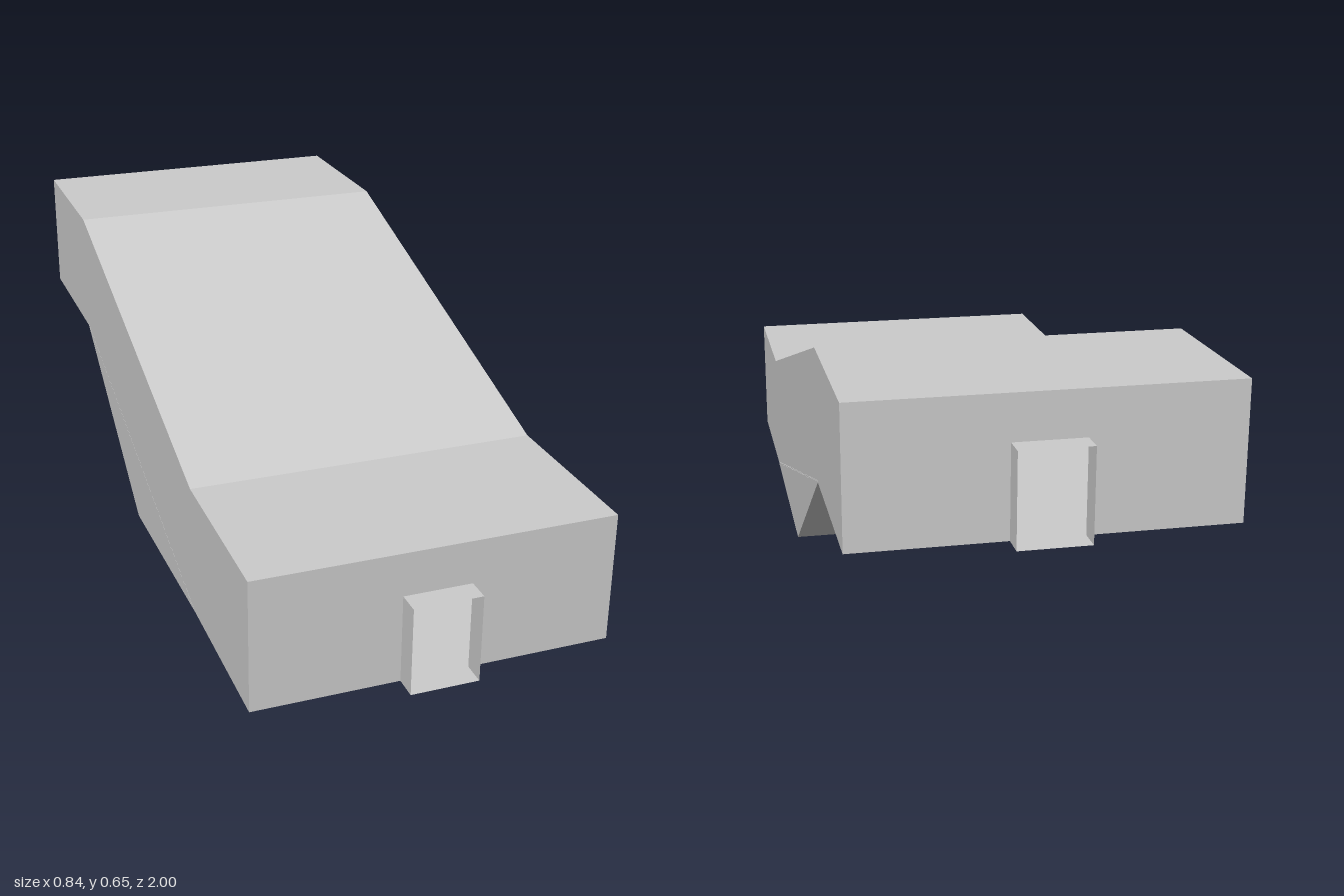
import * as THREE from 'three';

const HALF_W = 0.42;   // half width of the passage
const END = 0.945;     // end walls
const BEND = 0.525;    // where the level parts meet the slope
const LOW = 0.025, HIGH = 0.34, ROOM = 0.313;
const DOOR_HALF = 0.08, DOOR_H = 0.21;
const STEPS = 48;

export function createModel() {
  const model = new THREE.Group();
  const mat = new THREE.MeshStandardMaterial({
    color: 0xcccccc, side: THREE.DoubleSide, flatShading: true,
  });

  const add = (name, geometry, parent = model) => {
    const mesh = new THREE.Mesh(geometry, mat);
    mesh.name = name;
    parent.add(mesh);
    return mesh;
  };
  const shapeOf = (pts) => new THREE.Shape(pts.map(([a, b]) => new THREE.Vector2(a, b)));

  // Sheet spanning the given width along a [z, y] path, back to front
  const sheet = (width, path) => {
    const g = new THREE.PlaneGeometry(width, 1, 1, path.length - 1);
    const p = g.attributes.position;
    for (let i = 0; i < p.count; i++) {
      const [z, y] = path[Math.floor(i / 2)];
      p.setY(i, y);
      p.setZ(i, z);
    }
    const flat = g.toNonIndexed();
    flat.computeVertexNormals();
    return flat;
  };

  // Ceiling: level, sloping, level
  add('ceiling', sheet(HALF_W * 2, [
    [-END, HIGH + ROOM], [-BEND, HIGH + ROOM], [BEND, LOW + ROOM], [END, LOW + ROOM],
  ]));

  // Level floors at both ends
  add('lowerFloor', sheet(HALF_W * 2, [[BEND, LOW], [END, LOW]]));
  add('upperFloor', sheet(HALF_W * 2, [[-END, HIGH], [-BEND, HIGH]]));

  // Side walls, drawn with -z along the shape's x
  const wall = shapeOf([
    [-END, LOW], [-BEND, LOW], [BEND, HIGH], [END, HIGH],
    [END, HIGH + ROOM], [BEND, HIGH + ROOM], [-BEND, LOW + ROOM], [-END, LOW + ROOM],
  ]);
  for (const side of [1, -1]) {
    const g = new THREE.ShapeGeometry(wall).rotateY(Math.PI / 2);
    add(side > 0 ? 'leftWall' : 'rightWall', g).position.x = side * HALF_W;
  }

  // Staircase with a wedge-shaped underside
  const stair = [[0, 0], [-BEND, LOW]];
  const run = (2 * BEND) / STEPS, rise = (HIGH - LOW) / STEPS;
  for (let i = 0; i < STEPS; i++) {
    const y = LOW + (i + 1) * rise;
    stair.push([-BEND + i * run, y], [-BEND + (i + 1) * run, y]);
  }
  const stairWidth = HALF_W * 2 + 0.001;
  const stairGeo = new THREE.ExtrudeGeometry(shapeOf(stair.reverse()), {
    depth: stairWidth, bevelEnabled: false,
  });
  stairGeo.translate(0, 0, -stairWidth / 2).rotateY(Math.PI / 2);
  add('staircase', stairGeo);

  // End walls with a doorway, each with a short open door frame
  const endShape = shapeOf([
    [-HALF_W, 0], [-DOOR_HALF, 0], [-DOOR_HALF, DOOR_H], [DOOR_HALF, DOOR_H],
    [DOOR_HALF, 0], [HALF_W, 0], [HALF_W, ROOM], [-HALF_W, ROOM],
  ]);
  const depth = 1 - END;
  for (const [name, y, turn] of [['front', LOW, 0], ['back', HIGH, Math.PI]]) {
    const end = new THREE.Group();
    end.name = name + 'End';
    end.position.y = y;
    end.rotation.y = turn;
    model.add(end);
    add(name + 'Wall', new THREE.ShapeGeometry(endShape), end).position.z = END;
    add(name + 'DoorTop', sheet(DOOR_HALF * 2, [[END, DOOR_H], [1, DOOR_H]]), end);
    add(name + 'DoorSill', sheet(DOOR_HALF * 2, [[1, 0], [END, 0]]), end);
    for (const s of [1, -1]) {
      const jamb = new THREE.PlaneGeometry(depth, DOOR_H).rotateY(s * Math.PI / 2);
      add(name + 'DoorJamb', jamb, end).position.set(s * DOOR_HALF, DOOR_H / 2, END + depth / 2);
    }
  }

  return model;
}
